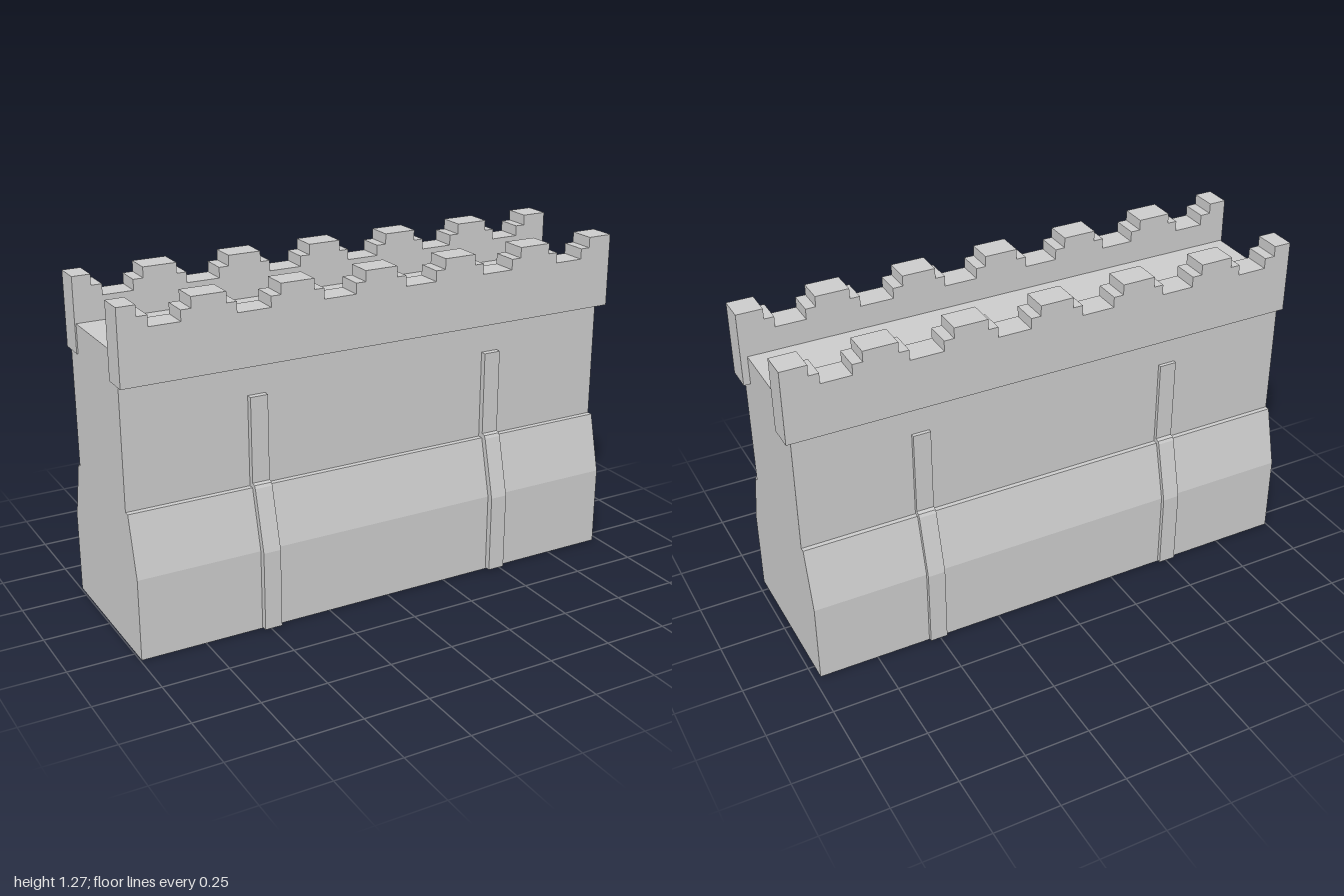
import * as THREE from 'three';

const solid = new THREE.MeshStandardMaterial({ color: 0xcccccc, flatShading: true });
const thin = new THREE.MeshStandardMaterial({ color: 0xcccccc, flatShading: true, side: THREE.DoubleSide });

const shapeOf = (pts) => new THREE.Shape(pts.map(([a, b]) => new THREE.Vector2(a, b)));

function add(parent, name, geometry, material) {
  const mesh = new THREE.Mesh(geometry, material);
  mesh.name = name;
  parent.add(mesh);
  return mesh;
}

// Extrudes a (z, y) profile along x between x0 and x1
function extrudeAlongX(pts, x0, x1) {
  const g = new THREE.ExtrudeGeometry(shapeOf(pts), { depth: x1 - x0, bevelEnabled: false });
  return g.rotateY(-Math.PI / 2).translate(x1, 0, 0);
}

// Open strip that sweeps a (z, y) line along x
function sweepStrip(pts, x0, x1) {
  const pos = [];
  for (let i = 0; i < pts.length - 1; i++) {
    const [za, ya] = pts[i], [zb, yb] = pts[i + 1];
    pos.push(x0, ya, za, x1, ya, za, x1, yb, zb, x0, ya, za, x1, yb, zb, x0, yb, zb);
  }
  const g = new THREE.BufferGeometry();
  g.setAttribute('position', new THREE.Float32BufferAttribute(pos, 3));
  g.computeVertexNormals();
  return g;
}

// Parapet outline: stepped merlons between two end half-merlons
function parapetOutline() {
  const low = 1.19, mid = 1.23, top = 1.27;
  const pts = [[-1, 0.99], [1, 0.99], [1, top], [0.902, top], [0.902, mid], [0.865, mid], [0.865, low]];
  for (let i = 2; i >= -2; i--) {
    const c = -0.013 + i * 0.331;
    pts.push([c + 0.102, low], [c + 0.102, mid], [c + 0.064, mid], [c + 0.064, top],
      [c - 0.064, top], [c - 0.064, mid], [c - 0.102, mid], [c - 0.102, low]);
  }
  pts.push([-0.892, low], [-0.892, mid], [-0.932, mid], [-0.932, top], [-1, top]);
  return pts;
}

export function createModel() {
  const model = new THREE.Group();
  model.name = 'castleWall';

  // Hollow wall body with battered base, open underneath
  const x0 = -0.995, x1 = 0.975;
  const profile = [
    [0.303, 0], [0.303, 0.31], [0.247, 0.535], [0.226, 0.535], [0.226, 1.1],
    [-0.235, 1.1], [-0.235, 0.535], [-0.253, 0.535], [-0.312, 0.31], [-0.312, 0],
  ];
  const body = new THREE.Group();
  body.name = 'wallBody';
  add(body, 'wallShell', sweepStrip(profile, x0, x1), thin);
  for (const [name, x] of [['rightEnd', x0], ['leftEnd', x1]]) {
    const g = new THREE.ShapeGeometry(shapeOf(profile)).rotateY(-Math.PI / 2).translate(x, 0, 0);
    add(body, name, g, thin);
  }
  model.add(body);

  // Crenellated parapets overhanging both faces
  for (const [name, z] of [['frontParapet', 0.16], ['backParapet', -0.265]]) {
    const g = new THREE.ExtrudeGeometry(shapeOf(parapetOutline()), { depth: 0.101, bevelEnabled: false });
    add(model, name, g.translate(0, 0, z), solid);
  }

  // Slim buttresses that follow the slope of the base
  const buttress = (s, upper, ledge, base) => {
    const pts = [
      [0.328, 0.005], [0.328, 0.31], [0.27, 0.538], [0.264, 0.549], [0.249, 0.553], [0.249, 0.875],
      [upper, 0.875], [upper, 0.535], [ledge, 0.535], [base, 0.31], [base, 0.005],
    ];
    return pts.map(([z, y]) => [s * z, y]);
  };
  const front = buttress(1, 0.226, 0.247, 0.303);
  const back = buttress(-1, 0.235, 0.253, 0.312);
  for (const x of [-0.527, 0.447]) add(model, 'frontButtress', extrudeAlongX(front, x, x + 0.067), solid);
  for (const x of [-0.534, 0.474]) add(model, 'backButtress', extrudeAlongX(back, x, x + 0.067), solid);

  return model;
}
